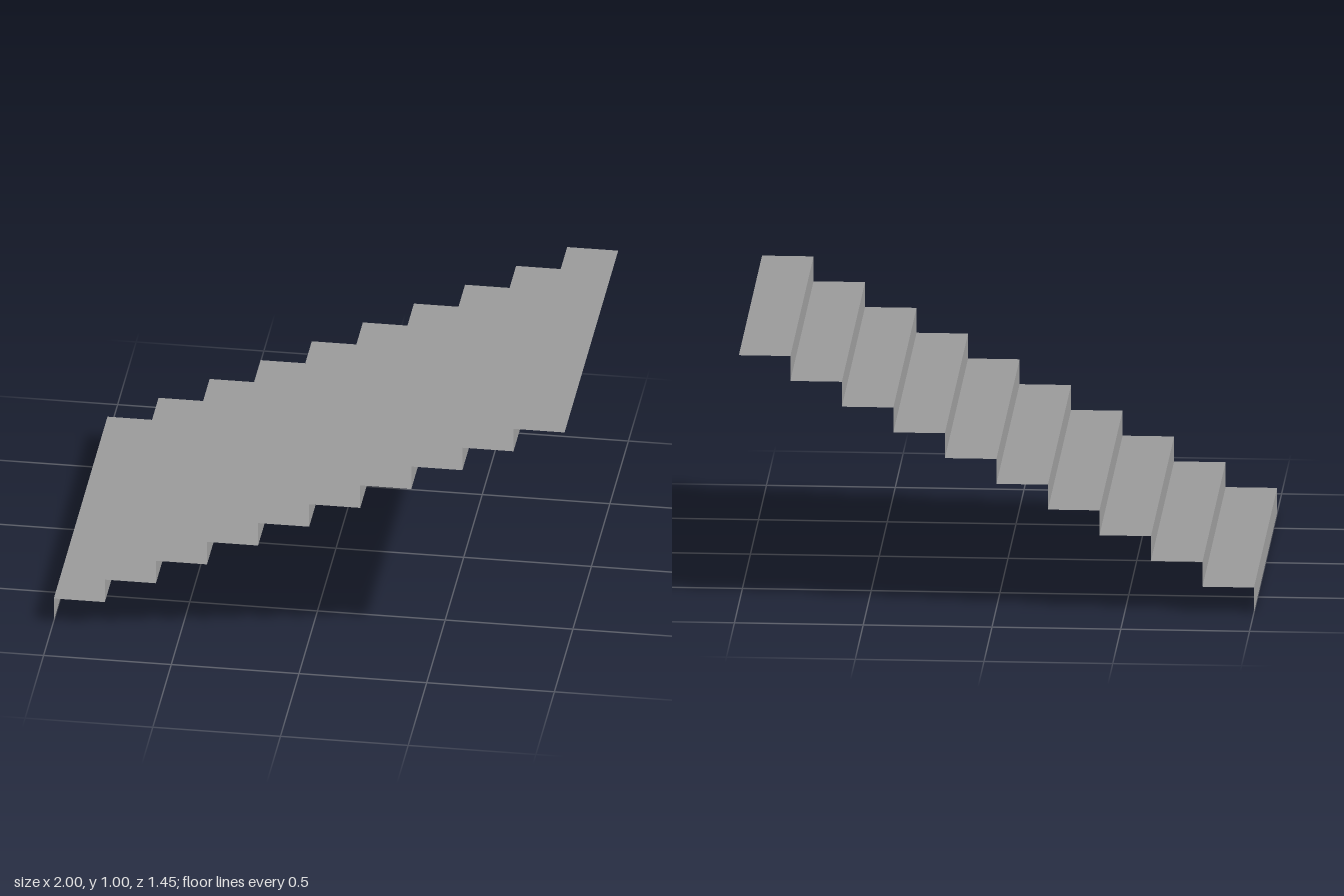
import * as THREE from 'three';

const STEPS = 10;
const RUN = 0.2;
const RISE = 0.1;
const WIDTH = 1.45;

export function createModel() {
  const stairs = new THREE.Group();
  stairs.name = 'stairs';
  const material = new THREE.MeshStandardMaterial({
    color: 0x9c9c9c, flatShading: true, side: THREE.DoubleSide,
  });

  // Riser faces -x, tread faces up; both are thin sheets
  const riserGeometry = new THREE.PlaneGeometry(WIDTH, RISE).rotateY(-Math.PI / 2);
  const treadGeometry = new THREE.PlaneGeometry(RUN, WIDTH).rotateX(-Math.PI / 2);

  // Flight climbing towards +x
  for (let i = 0; i < STEPS; i++) {
    const x = -1 + i * RUN;
    const y = i * RISE;

    const riser = new THREE.Mesh(riserGeometry, material);
    riser.name = `riser${i + 1}`;
    riser.position.set(x, y + RISE / 2, 0);

    const tread = new THREE.Mesh(treadGeometry, material);
    tread.name = `tread${i + 1}`;
    tread.position.set(x + RUN / 2, y + RISE, 0);

    stairs.add(riser, tread);
  }
  return stairs;
}
